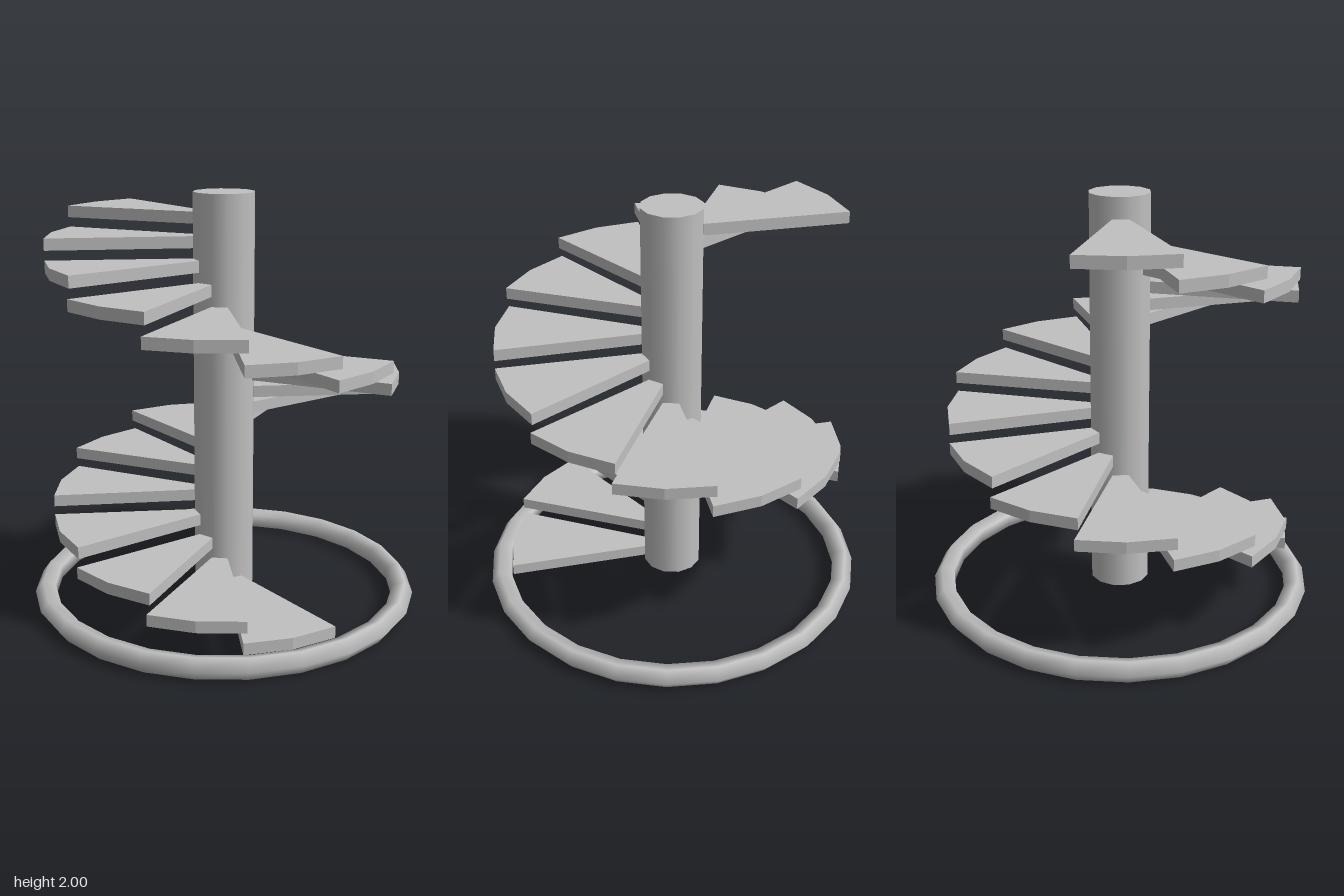
import * as THREE from 'three';

const BASE_Y = 0.052;
const POLE_RADIUS = 0.145;
const STEP_RADIUS = 0.83;
const STEP_COUNT = 18;
const STEP_THICKNESS = 0.056;
const STEP_RISE = 0.1038;
const FIRST_TOP = 0.135;
const TURN = Math.PI / 6;
const SWEEP = THREE.MathUtils.degToRad(31.2); // slight overlap between treads

// Wedge-shaped tread, its top at y = 0, starting on +x and sweeping towards +z
function treadGeometry() {
  const at = (r, a) => new THREE.Vector2(r * Math.cos(a), r * Math.sin(a));
  const shape = new THREE.Shape([
    at(POLE_RADIUS, 0),
    at(STEP_RADIUS, 0),
    at(STEP_RADIUS, SWEEP / 2),
    at(STEP_RADIUS, SWEEP),
    at(POLE_RADIUS, SWEEP),
  ]);
  const geometry = new THREE.ExtrudeGeometry(shape, { depth: STEP_THICKNESS, bevelEnabled: false });
  return geometry.rotateX(Math.PI / 2);
}

export function createModel() {
  const model = new THREE.Group();
  model.name = 'spiralStaircase';

  const grey = new THREE.MeshStandardMaterial({ color: 0xc0c0c0 });
  grey.name = 'grey';

  // Central pole
  const height = 2 - BASE_Y;
  const pole = new THREE.Mesh(new THREE.CylinderGeometry(POLE_RADIUS, POLE_RADIUS, height, 12), grey);
  pole.name = 'centralPole';
  pole.position.y = BASE_Y + height / 2;
  model.add(pole);

  // Ring on the ground, with a five-sided section
  const ring = new THREE.Mesh(new THREE.TorusGeometry(0.885, 0.055, 5, 24).rotateX(Math.PI / 2), grey);
  ring.name = 'baseRing';
  ring.position.y = BASE_Y;
  model.add(ring);

  // Treads climbing one and a half turns
  const treads = new THREE.Group();
  treads.name = 'treads';
  const geometry = treadGeometry();
  for (let i = 0; i < STEP_COUNT; i++) {
    const tread = new THREE.Mesh(geometry, grey);
    tread.name = `tread${i + 1}`;
    tread.position.y = FIRST_TOP + i * STEP_RISE;
    tread.rotation.y = -i * TURN;
    treads.add(tread);
  }
  model.add(treads);

  return model;
}
